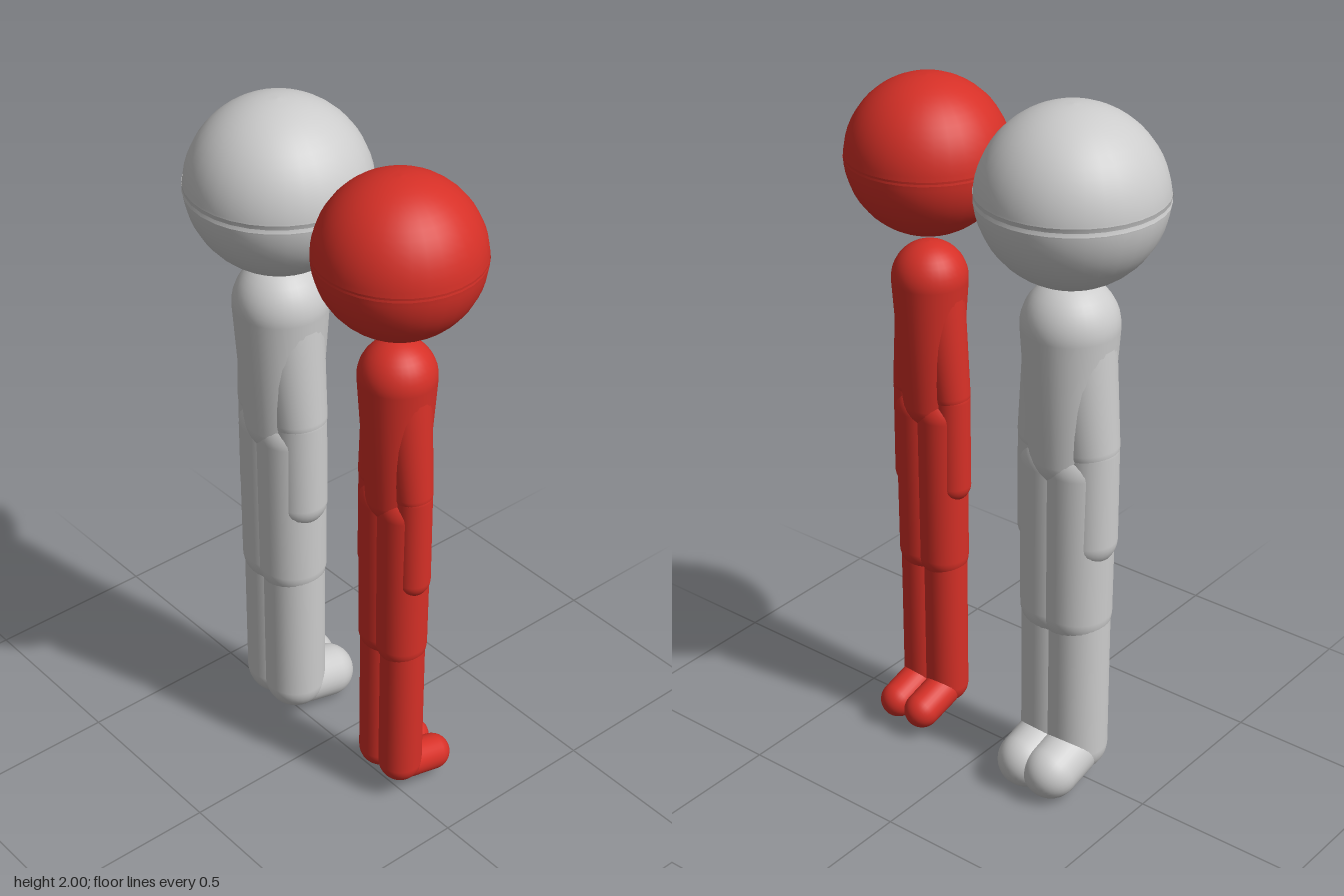
import * as THREE from 'three';

const UP = new THREE.Vector3(0, 1, 0);

// Tapered capsule from a (radius ra) to b (radius rb), upper end first
function capsule(name, a, b, ra, rb, material) {
  const top = new THREE.Vector3(...a), bottom = new THREE.Vector3(...b);
  const axis = top.clone().sub(bottom);
  const half = axis.length() / 2, n = 10, profile = [];
  const tilt = Math.asin((rb - ra) / (2 * half)); // where cone and end caps are tangent
  const arc = (r, y, from, to) => {
    for (let i = 0; i <= n; i++) {
      const t = from + (to - from) * i / n;
      profile.push(new THREE.Vector2(Math.max(0, r * Math.cos(t)), y + r * Math.sin(t)));
    }
  };
  arc(rb, -half, -Math.PI / 2, tilt);
  arc(ra, half, tilt, Math.PI / 2);
  const mesh = new THREE.Mesh(new THREE.LatheGeometry(profile, 32), material);
  mesh.name = name;
  mesh.position.copy(top).add(bottom).multiplyScalar(0.5);
  mesh.quaternion.setFromUnitVectors(UP, axis.normalize());
  return mesh;
}

// Head of two half spheres pushed slightly into each other, leaving a seam
function head(y, r, overlap, material) {
  const profile = [], n = 14;
  for (let i = 0; i <= n; i++) {
    const t = -Math.PI / 2 + Math.PI / 2 * i / n;
    profile.push(new THREE.Vector2(Math.max(0, r * Math.cos(t)), overlap + r * Math.sin(t)));
  }
  for (let i = 0; i <= n; i++) {
    const t = Math.PI / 2 * i / n;
    profile.push(new THREE.Vector2(Math.max(0, r * Math.cos(t)), -overlap + r * Math.sin(t)));
  }
  const mesh = new THREE.Mesh(new THREE.LatheGeometry(profile, 32), material);
  mesh.name = 'head';
  mesh.position.y = y;
  return mesh;
}

// Figure facing +x; "grow" thickens every part around the same skeleton
function figure(name, material, grow, headSize) {
  const g = new THREE.Group();
  g.name = name;
  const add = (part, a, b, ra, rb) => g.add(capsule(part, a, b, ra + grow, rb + grow, material));
  g.add(head(...headSize, material));
  add('torso', [0, 1.405, 0], [0, 1.035, 0], 0.105, 0.08);
  for (const [side, s] of [['left', -1], ['right', 1]]) {
    add(side + 'UpperArm', [0, 1.39, s * 0.03], [0, 1.075, s * 0.07], 0.07, 0.053);
    add(side + 'Forearm', [0, 1.06, s * 0.073], [0, 0.795, s * 0.074], 0.05, 0.05);
    add(side + 'Thigh', [0, 1.0, s * 0.036], [0, 0.555, s * 0.036], 0.073, 0.071);
    add(side + 'Calf', [0, 0.54, s * 0.042], [0, 0.12, s * 0.042], 0.062, 0.062);
    add(side + 'Foot', [0.03, 0.105, s * 0.045], [0.12, 0.08, s * 0.045], 0.053, 0.052);
  }
  return g;
}

export function createModel() {
  const red = new THREE.MeshStandardMaterial({ name: 'red', color: 0xd63027 });
  const grey = new THREE.MeshStandardMaterial({ name: 'light grey', color: 0xcccccc });
  const model = new THREE.Group();
  model.name = 'twoFigures';
  const slim = figure('slimFigure', red, 0, [1.757, 0.2225, 0.006]);
  const stout = figure('stoutFigure', grey, 0.027, [1.76, 0.2515, 0.0115]);
  slim.position.z = 0.25;
  stout.position.z = -0.2225;
  model.add(slim, stout);
  return model;
}
